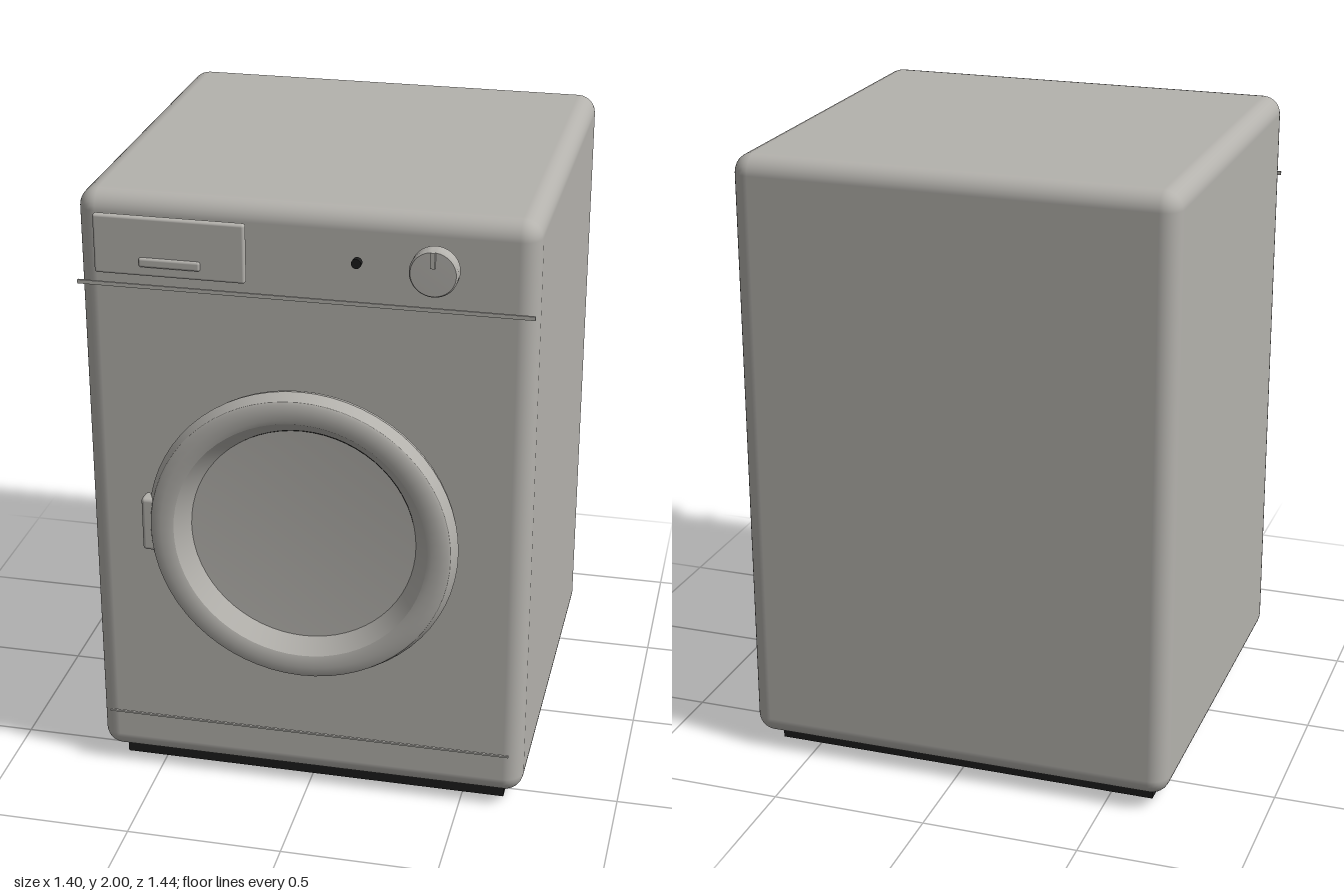
import * as THREE from 'three';
import { toCreasedNormals } from 'three/addons/utils/BufferGeometryUtils.js';
import { RoundedBoxGeometry } from 'three/addons/geometries/RoundedBoxGeometry.js';

const enamel = new THREE.MeshStandardMaterial({ color: 0xb4b2ad });
enamel.name = 'warm grey enamel';
const rubber = new THREE.MeshStandardMaterial({ color: 0x1c1c1c });
rubber.name = 'black rubber';

export function createModel() {
  const model = new THREE.Group();

  const add = (name, geometry, material, x, y, z) => {
    const mesh = new THREE.Mesh(geometry, material);
    mesh.name = name;
    mesh.position.set(x, y, z);
    model.add(mesh);
    return mesh;
  };
  // Box given by its limits, with optional rounded edges
  const box = (name, material, [x0, x1], [y0, y1], [z0, z1], radius = 0) => {
    const size = [x1 - x0, y1 - y0, z1 - z0];
    const geometry = radius ? new RoundedBoxGeometry(...size, 4, radius) : new THREE.BoxGeometry(...size);
    return add(name, geometry, material, (x0 + x1) / 2, (y0 + y1) / 2, (z0 + z1) / 2);
  };
  // Turned part whose axis points to the front; profile is [radius, z]
  const turned = (name, material, profile, x, y, crease = 0.4) => {
    const points = profile.map(([r, z]) => new THREE.Vector2(r, z));
    const geometry = new THREE.LatheGeometry(points, 64).rotateX(Math.PI / 2);
    return add(name, toCreasedNormals(geometry, crease), material, x, y, 0);
  };

  // Cabinet and plinth
  box('cabinet', enamel, [-0.7, 0.7], [0.05, 2], [-0.72, 0.62], 0.06);
  box('plinth', rubber, [-0.635, 0.635], [0, 0.08], [-0.63, 0.55]);

  // Trim strips across the front
  box('upperTrim', enamel, [-0.695, 0.695], [1.715, 1.727], [0.64, 0.647]);
  box('lowerTrim', enamel, [-0.66, 0.66], [0.212, 0.218], [0.64, 0.647]);

  // Door: rubber seal, ring, shallow glass bowl and handle
  const doorY = 0.945;
  turned('doorSeal', rubber, [[0, 0.61], [0.4, 0.61], [0.4, 0.65], [0, 0.65]], 0, doorY);
  turned('doorRing', enamel, [
    [0.355, 0.645], [0.475, 0.645], [0.485, 0.655], [0.49, 0.675], [0.473, 0.713],
    [0.465, 0.718], [0.44, 0.72], [0.415, 0.72], [0.4, 0.715], [0.355, 0.66], [0.355, 0.645],
  ], 0, doorY, 0.5);
  turned('doorGlass', enamel, [[0.356, 0.664], [0.28, 0.66], [0.15, 0.656], [0, 0.654]], 0, doorY);
  box('doorHandle', enamel, [-0.505, -0.44], [0.86, 1.04], [0.655, 0.708], 0.012);

  // Detergent drawer with its grip
  box('drawer', enamel, [-0.635, -0.17], [1.76, 1.945], [0.636, 0.66], 0.008);
  box('drawerGrip', enamel, [-0.495, -0.305], [1.79, 1.82], [0.645, 0.668], 0.008);

  // Button and programme knob
  turned('button', rubber, [[0, 0.635], [0.015, 0.635], [0.015, 0.655], [0, 0.655]], 0.165, 1.85);
  turned('knob', enamel, [
    [0, 0.64], [0.068, 0.64], [0.073, 0.648], [0.073, 0.683], [0.068, 0.691], [0, 0.692],
  ], 0.4, 1.85);
  box('knobPointer', enamel, [0.393, 0.407], [1.872, 1.92], [0.68, 0.703]);

  return model;
}
